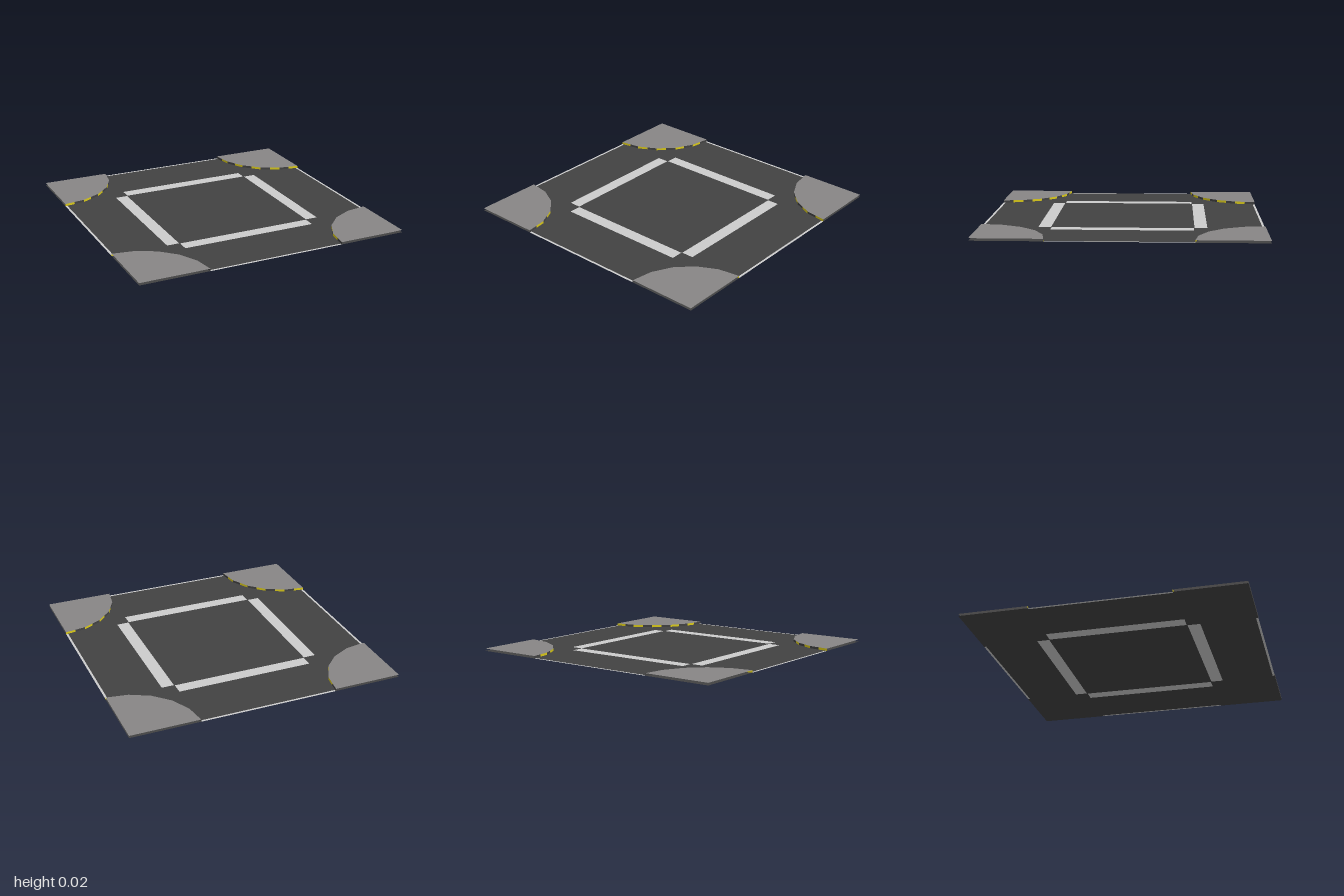
import * as THREE from 'three';

const material = (name, color) => {
  const m = new THREE.MeshStandardMaterial({ color, side: THREE.DoubleSide });
  m.name = name;
  return m;
};

const CURB = 0.017;    // curb height
const RADIUS = 0.5;    // corner radius
const SEGMENTS = 5;    // facets per corner arc
const EDGE = 0.016;    // width of the lines on the tile border
const IN = 0.505, OUT = 0.595, HALF = 0.5; // crossing lines

export function createModel() {
  const asphalt = material('asphalt', 0x424242);
  const paving = material('paving', 0x878585);
  const whitePaint = material('white paint', 0xcccccc);
  const yellowPaint = material('yellow paint', 0xd8c81a);

  const model = new THREE.Group();
  model.name = 'crossroadTile';

  const add = (parent, name, geometry, mat) => {
    const mesh = new THREE.Mesh(geometry, mat);
    mesh.name = name;
    parent.add(mesh);
    return mesh;
  };
  // Flat upward-facing sheet from a shape given as (x, -z)
  const sheet = (shape) => new THREE.ShapeGeometry(shape).rotateX(-Math.PI / 2);
  const turn = (points, k) =>
    points.map(([x, y]) => new THREE.Vector2(x, y).rotateAround(new THREE.Vector2(), k * Math.PI / 2));

  // Painted lines, repeated on all four sides
  const crossing = [[-HALF, -OUT], [HALF, -OUT], [HALF, -IN], [-HALF, -IN]];
  const border = [[-HALF, -1], [HALF, -1], [HALF, -1 + EDGE], [-HALF, -1 + EDGE]];
  const outline = [];
  const holes = [];
  for (let k = 0; k < 4; k++) {
    add(model, 'crossingLine', sheet(new THREE.Shape(turn(crossing, k))), whitePaint);
    add(model, 'borderLine', sheet(new THREE.Shape(turn(border, k))), whitePaint);
    const [a, b, c, d] = border;
    outline.push(...turn([[-1, -1], a, d, c, b], k));
    holes.push(new THREE.Path(turn(crossing, k)));
  }

  // Road surface with cut-outs for the lines
  const roadShape = new THREE.Shape(outline);
  roadShape.holes = holes;
  add(model, 'road', sheet(roadShape), asphalt);

  // Raised pavement corners with striped curbs
  const arcPoint = (i) => {
    const a = (i / SEGMENTS) * Math.PI / 2;
    return new THREE.Vector3(-1 + RADIUS * Math.cos(a), 0, -1 + RADIUS * Math.sin(a));
  };
  for (let k = 0; k < 4; k++) {
    const corner = new THREE.Group();
    corner.name = 'pavementCorner';
    corner.rotation.y = k * Math.PI / 2;
    model.add(corner);

    const points = [new THREE.Vector2(-1, 1)];
    for (let i = 0; i <= SEGMENTS; i++) {
      const p = arcPoint(i);
      points.push(new THREE.Vector2(p.x, -p.z));
    }
    add(corner, 'pavementTop', sheet(new THREE.Shape(points)), paving).position.y = CURB;

    // Two stripes on each facet; colours swap so neighbouring corners mirror
    for (let s = 0; s < SEGMENTS * 2; s++) {
      const i = Math.floor(s / 2);
      const p = arcPoint(i), q = arcPoint(i + 1);
      const stripe = add(corner, 'curbStripe',
        new THREE.PlaneGeometry(p.distanceTo(q) / 2, CURB),
        (s + k) % 2 ? yellowPaint : asphalt);
      stripe.position.lerpVectors(p, q, s % 2 ? 0.75 : 0.25);
      stripe.position.y = CURB / 2;
      stripe.rotation.y = Math.PI / 2 - ((i + 0.5) / SEGMENTS) * Math.PI / 2;
    }
  }
  return model;
}
